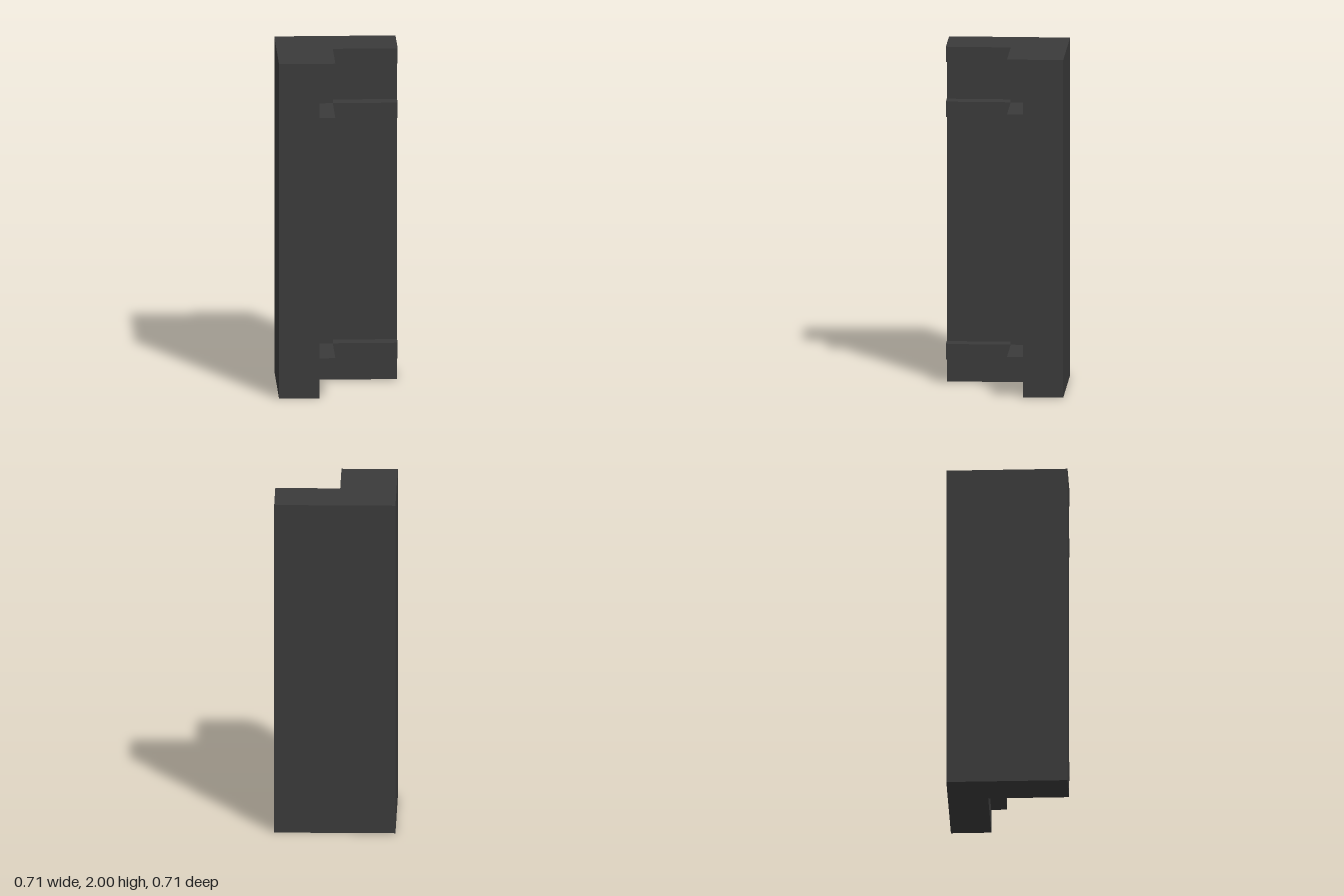
import * as THREE from 'three';

const HALF = 0.353;   // half width of the corner piece
const WALL = -0.118;  // inner faces of the two walls
const RAIL = -0.025;  // inner faces of the rails and post
const material = new THREE.MeshStandardMaterial({ color: 0x3a3a3a });

// L-shaped prism between two heights; its legs run from "outer" to "inner"
function angleBlock(name, outer, inner, y0, y1) {
  // shape y becomes -z after the rotation
  const shape = new THREE.Shape([
    [outer, -HALF], [inner, -HALF], [inner, -inner],
    [HALF, -inner], [HALF, -outer], [outer, -outer],
  ].map(([x, y]) => new THREE.Vector2(x, y)));
  const geometry = new THREE.ExtrudeGeometry(shape, { depth: y1 - y0, bevelEnabled: false });
  geometry.rotateX(-Math.PI / 2).translate(0, y0, 0);
  const mesh = new THREE.Mesh(geometry, material);
  mesh.name = name;
  return mesh;
}

export function createModel() {
  const group = new THREE.Group();
  group.name = 'cornerWall';

  // Full-height corner walls
  group.add(angleBlock('walls', -HALF, WALL, 0, 2));

  // Horizontal rails along both inner faces
  const rails = [
    ['lowerRail', 0.146, 0.239],
    ['upperRail', 1.583, 1.675],
    ['topRail', 1.91, 2],
  ];
  for (const [name, y0, y1] of rails) group.add(angleBlock(name, WALL, RAIL, y0, y1));

  // Square post in the inner corner, filling the gaps between rails
  const size = RAIL - WALL;
  const middle = (RAIL + WALL) / 2;
  for (let i = 0; i < rails.length - 1; i++) {
    const y0 = rails[i][2], y1 = rails[i + 1][1];
    const post = new THREE.Mesh(new THREE.BoxGeometry(size, y1 - y0, size), material);
    post.position.set(middle, (y0 + y1) / 2, middle);
    post.name = 'cornerPost';
    group.add(post);
  }
  return group;
}
